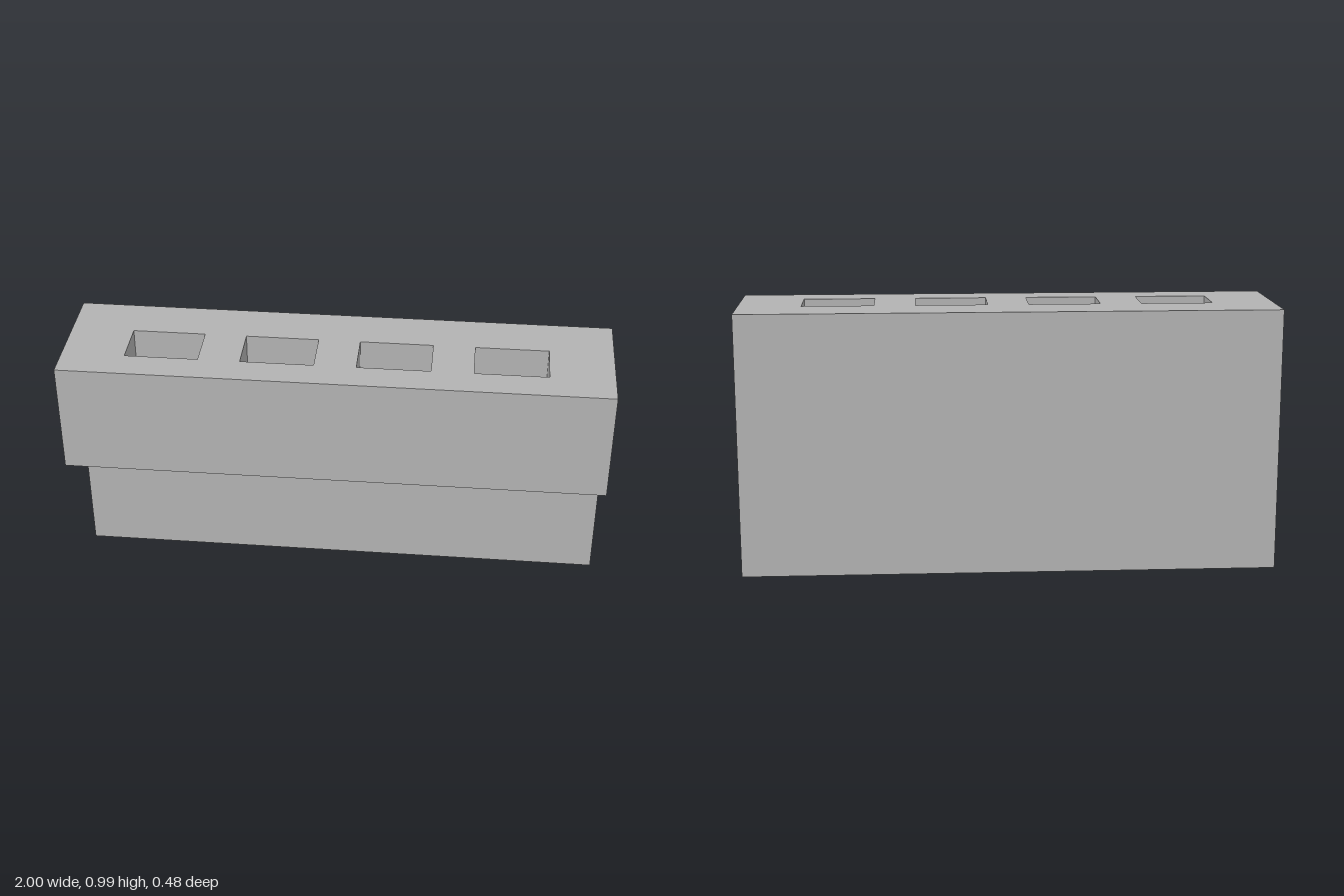
import * as THREE from 'three';

const LENGTH = 2, TOP = 0.985, FLOOR = 0.69, LEDGE = 0.565;
const FRONT = 0.24, BACK = -0.24, STEM_FRONT = -0.053;

// Closed outline from corner points
const outline = (points) => points.map(([x, y]) => new THREE.Vector2(x, y));
const rect = (x0, y0, x1, y1) => outline([[x0, y0], [x1, y0], [x1, y1], [x0, y1]]);

export function createModel() {
  const group = new THREE.Group();
  group.name = 'slottedBlock';
  const grey = new THREE.MeshStandardMaterial({ color: 0xb2b2b2 });
  grey.name = 'grey';

  // Stepped body: stem plus overhanging ledge, extruded along x
  const profile = new THREE.Shape(outline([
    [-BACK, 0], [-BACK, FLOOR], [-FRONT, FLOOR],
    [-FRONT, LEDGE], [-STEM_FRONT, LEDGE], [-STEM_FRONT, 0],
  ]));
  const bodyGeometry = new THREE.ExtrudeGeometry(profile, { depth: LENGTH, bevelEnabled: false });
  bodyGeometry.translate(0, 0, -LENGTH / 2).rotateY(Math.PI / 2);
  const body = new THREE.Mesh(bodyGeometry, grey);
  body.name = 'steppedBody';

  // Head with a row of four rectangular pockets, extruded upward
  const plan = new THREE.Shape(rect(-LENGTH / 2, -FRONT, LENGTH / 2, -BACK));
  for (let i = 0; i < 4; i++) {
    const x = -0.635 + i * 0.422;
    plan.holes.push(new THREE.Path(rect(x - 0.134, -0.12, x + 0.134, 0.056)));
  }
  const headGeometry = new THREE.ExtrudeGeometry(plan, { depth: TOP - FLOOR, bevelEnabled: false });
  headGeometry.rotateX(-Math.PI / 2).translate(0, FLOOR, 0);
  const head = new THREE.Mesh(headGeometry, grey);
  head.name = 'pocketedHead';

  group.add(body, head);
  return group;
}
